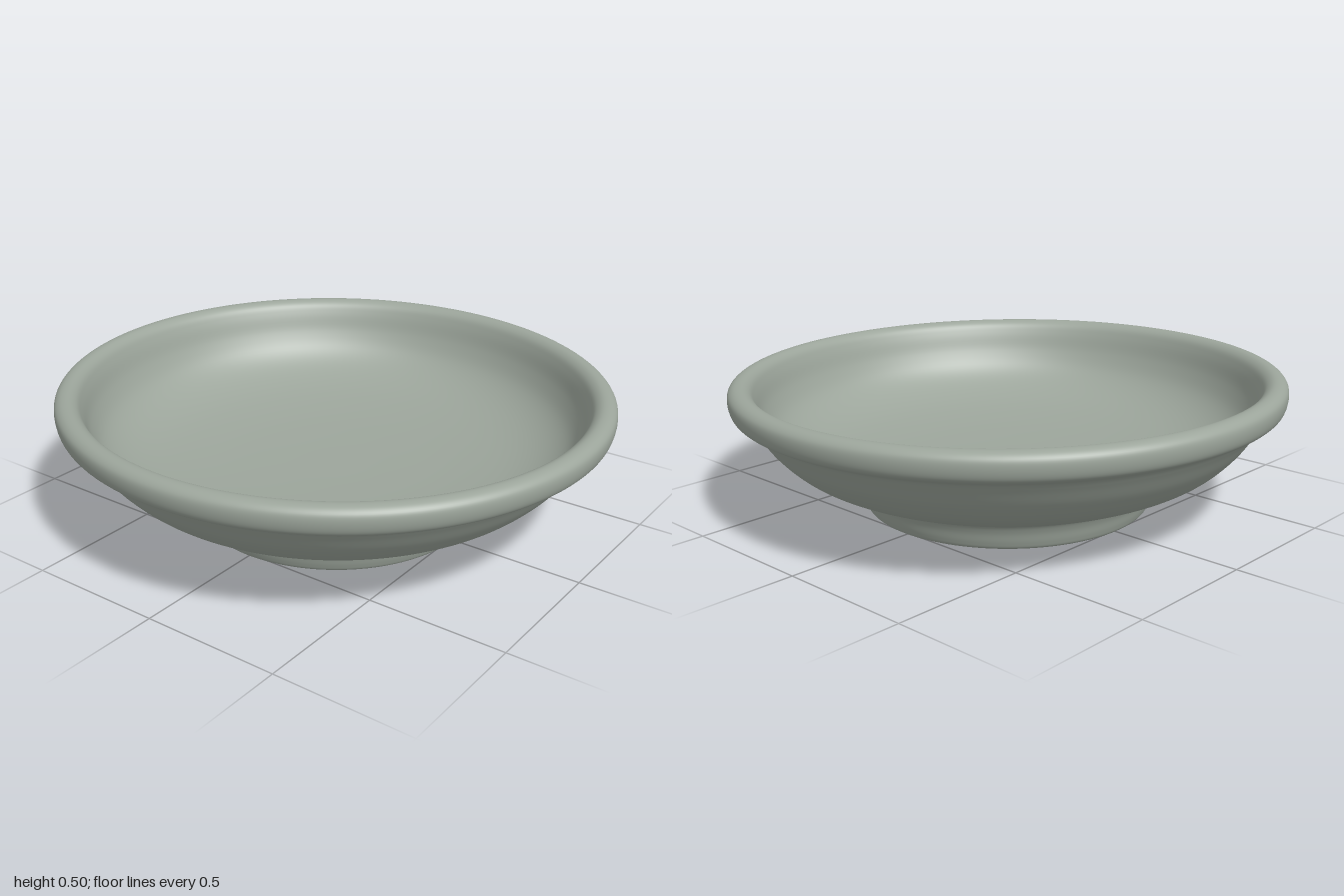
import * as THREE from 'three';

// Smooth a short list of [radius, height] points into a lathe profile
function smoothProfile(points, divisions) {
  const curve = new THREE.CatmullRomCurve3(
    points.map(([r, y]) => new THREE.Vector3(r, y, 0)), false, 'centripetal');
  return curve.getPoints(divisions).map(p => new THREE.Vector2(Math.max(0, p.x), Math.max(0, p.y)));
}

export function createModel() {
  const group = new THREE.Group();
  group.name = 'dish';

  const glaze = new THREE.MeshStandardMaterial({ color: 0x9ca59b });
  glaze.name = 'grey green glaze';

  // One closed profile: recess under the foot, foot ring, outer wall, rolled rim, inner wall, floor
  const profile = [
    [0, 0.105], [0.2, 0.105], [0.37, 0.105], [0.425, 0.093], [0.46, 0.045], [0.482, 0.012],
    [0.5, 0.003], [0.518, 0.009], [0.528, 0.03], [0.54, 0.07], [0.557, 0.1], [0.59, 0.117],
    [0.68, 0.147], [0.78, 0.2], [0.86, 0.275], [0.91, 0.345], [0.935, 0.375],
    [0.965, 0.388], [0.988, 0.405], [0.998, 0.44], [0.994, 0.47], [0.975, 0.487],
    [0.945, 0.49], [0.92, 0.475], [0.902, 0.44], [0.878, 0.37], [0.838, 0.303],
    [0.77, 0.25], [0.66, 0.208], [0.46, 0.178], [0.2, 0.165], [0, 0.163],
  ];
  const geometry = new THREE.LatheGeometry(smoothProfile(profile, 160), 128);

  // The hand-thrown rim sits slightly higher at the back left
  const pos = geometry.attributes.position;
  for (let i = 0; i < pos.count; i++) {
    const y = pos.getY(i);
    pos.setY(i, y + (y / 0.49) * (-0.006 * pos.getX(i) - 0.009 * pos.getZ(i)));
  }

  const bowl = new THREE.Mesh(geometry, glaze);
  bowl.name = 'bowl';
  group.add(bowl);
  return group;
}
